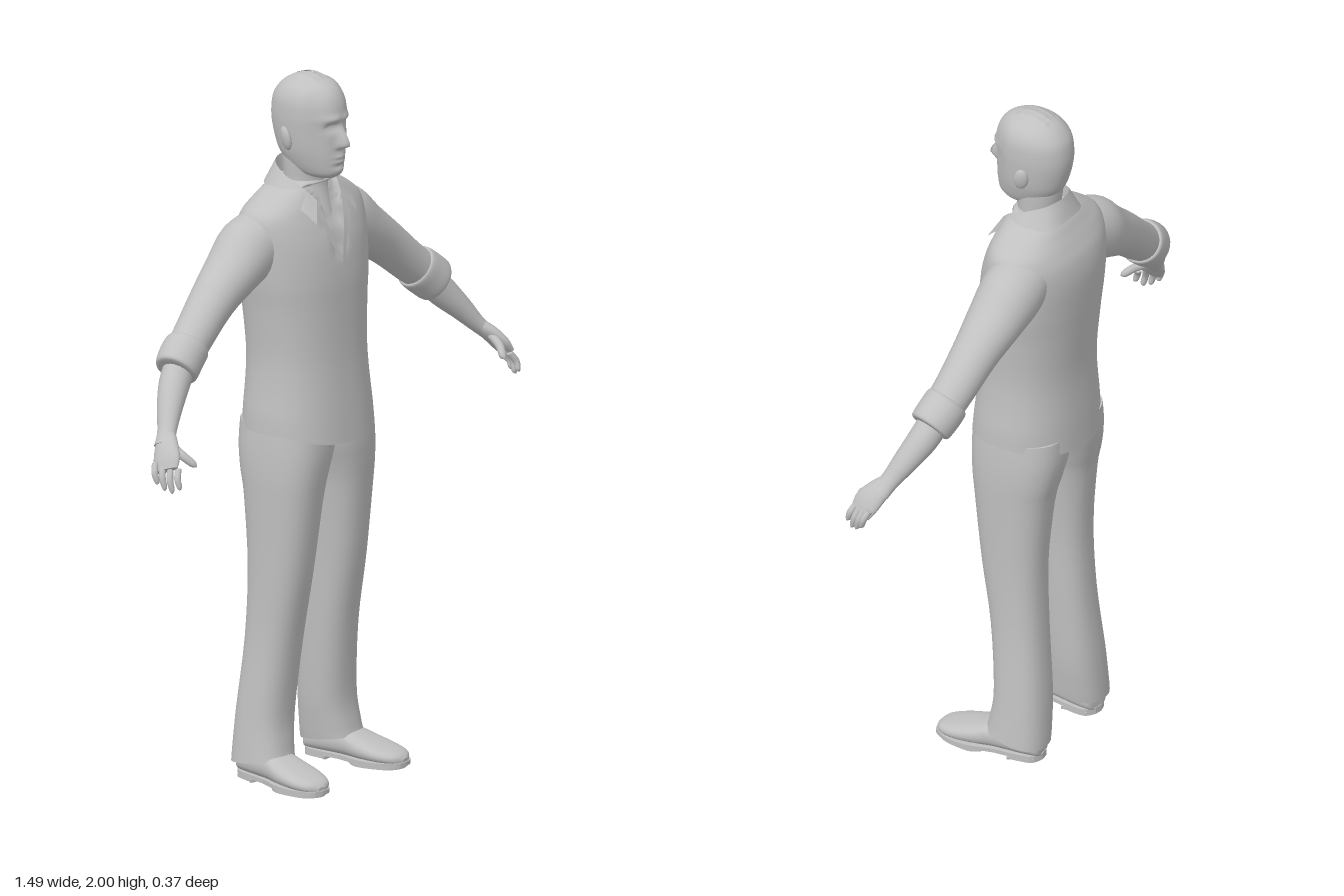
import * as THREE from 'three';

const clay = new THREE.MeshStandardMaterial({ color: 0xc0c0c0, side: THREE.DoubleSide });
clay.name = 'light grey';

const gauss = (d, s) => Math.exp(-(d * d) / (s * s));
const smooth = THREE.MathUtils.smoothstep;
const spow = (v, p) => Math.sign(v) * Math.abs(v) ** p;

// Smooth value between rows of numbers
function rowAt(rows, t) {
  const f = t * (rows.length - 1), i = Math.min(Math.floor(f), rows.length - 2), k = f - i;
  const r = n => rows[Math.max(0, Math.min(rows.length - 1, n))];
  return rows[0].map((_, c) => {
    const a = r(i - 1)[c], b = r(i)[c], d = r(i + 1)[c], e = r(i + 2)[c];
    return b + 0.5 * k * (d - a + k * (2 * a - 5 * b + 4 * d - e + k * (3 * (b - d) + e - a)));
  });
}

// Closed tube of rings with flat ends; point(row, cos, sin) places one ring vertex
function loft(rows, point, segs = 28, steps = 4) {
  const n = (rows.length - 1) * steps, pos = [], idx = [];
  const ring = s => {
    const row = rowAt(rows, s / n), pts = [];
    for (let j = 0; j < segs; j++) {
      const a = (j / segs) * Math.PI * 2;
      pts.push(point(row, Math.cos(a), Math.sin(a)));
    }
    return pts;
  };
  for (let s = 0; s <= n; s++) ring(s).forEach(p => pos.push(p.x, p.y, p.z));
  for (let s = 0; s < n; s++) for (let j = 0; j < segs; j++) {
    const a = s * segs + j, b = s * segs + (j + 1) % segs;
    idx.push(a, a + segs, b, b, a + segs, b + segs);
  }
  for (const s of [0, n]) {
    const pts = ring(s), base = pos.length / 3, c = new THREE.Vector3();
    pts.forEach(p => { pos.push(p.x, p.y, p.z); c.addScaledVector(p, 1 / segs); });
    pos.push(c.x, c.y, c.z);
    for (let j = 0; j < segs; j++) {
      const a = base + j, b = base + (j + 1) % segs;
      idx.push(...(s ? [a, base + segs, b] : [a, b, base + segs]));
    }
  }
  // Turn the faces outward
  const v = i => new THREE.Vector3().fromArray(pos, i * 3);
  let volume = 0;
  for (let i = 0; i < idx.length; i += 3) volume += v(idx[i]).dot(v(idx[i + 1]).cross(v(idx[i + 2])));
  if (volume < 0) idx.reverse();
  const g = new THREE.BufferGeometry();
  g.setAttribute('position', new THREE.Float32BufferAttribute(pos, 3));
  g.setIndex(idx);
  g.computeVertexNormals();
  return g;
}

// Upright body: rows [y, xMin, xMax, zFront, zBack], with an optional sculpting rule
function body(rows, power, sculpt = () => {}, segs, steps) {
  return loft(rows, ([y, x0, x1, zf, zb], c, s) => {
    const p = new THREE.Vector3((x0 + x1) / 2 + (x1 - x0) / 2 * spow(c, 2 / power), y,
      (zf + zb) / 2 + (zf - zb) / 2 * spow(s, 2 / power));
    sculpt(p);
    return p;
  }, segs, steps);
}

// Limb: rows [x, y, z, thickness, width], width running towards +z
function limb(rows, side, segs = 20, steps = 4) {
  const first = new THREE.Vector3(...rows[0]), t = new THREE.Vector3(...rows[rows.length - 1]).sub(first).normalize();
  const v = new THREE.Vector3(0, 0, 1).addScaledVector(t, -t.z).normalize();
  const u = new THREE.Vector3().crossVectors(v, t);
  return loft(rows, ([x, y, z, a, b], c, s) => {
    const p = new THREE.Vector3(x, y, z).addScaledVector(u, a * c).addScaledVector(v, b * s);
    p.x *= side;
    return p;
  }, segs, steps);
}

// Ruled strip between two smooth curves
function strip(a, b, n = 30, m = 4) {
  const curve = pts => new THREE.CatmullRomCurve3(pts.map(p => new THREE.Vector3(...p)));
  const ca = curve(a), cb = curve(b), g = new THREE.PlaneGeometry(1, 1, n, m), p = g.attributes.position;
  for (let i = 0; i < p.count; i++) {
    const s = (i % (n + 1)) / n, k = Math.floor(i / (n + 1)) / m;
    const q = ca.getPoint(s).lerp(cb.getPoint(s), k);
    p.setXYZ(i, q.x, q.y, q.z);
  }
  g.computeVertexNormals();
  return g;
}

const sym = rows => rows.map(([y, w, zf, zb]) => [y, -w, w, zf, zb]);
const mirrorAround = half => [...half.map(([x, y, z]) => [-x, y, z]).reverse(), ...half.slice(1)];

export function createModel() {
  const model = new THREE.Group();
  const add = (name, geometry, parent = model) => {
    const m = new THREE.Mesh(geometry, clay);
    m.name = name;
    parent.add(m);
    return m;
  };

  // Shirt with raised side hems and an open V at the neck
  add('shirt', body(sym([
    [0.97, 0.193, 0.137, -0.175], [1.05, 0.19, 0.13, -0.172], [1.2, 0.179, 0.117, -0.165],
    [1.34, 0.188, 0.112, -0.174], [1.43, 0.2, 0.109, -0.181], [1.52, 0.207, 0.098, -0.184],
    [1.58, 0.21, 0.081, -0.175], [1.62, 0.2, 0.065, -0.157], [1.65, 0.165, 0.054, -0.14],
    [1.68, 0.115, 0.042, -0.122], [1.7, 0.07, 0.03, -0.1]]), 2.3, p => {
    p.y += 0.035 * (p.x / 0.193) ** 2 * (1 - smooth(p.y, 0.97, 1.12));
    const inside = 0.36 * (p.y - 1.49) - Math.abs(p.x);
    if (p.z > 0 && p.y < 1.69) p.z -= 0.014 * smooth(inside, -0.002, 0.012);
  }, 64, 6));

  // Turned-down collar with pointed ends, and the neckline edges
  const collarTop = mirrorAround([[0, 1.748, -0.108], [0.055, 1.742, -0.09], [0.083, 1.72, -0.035], [0.072, 1.69, 0.02], [0.05, 1.655, 0.056]]);
  const collarEdge = mirrorAround([[0, 1.69, -0.13], [0.075, 1.682, -0.115], [0.112, 1.675, -0.045], [0.108, 1.645, 0.035], [0.085, 1.6, 0.085]]);
  const collarInner = mirrorAround([[0, 1.68, -0.095], [0.05, 1.675, -0.08], [0.075, 1.66, -0.035], [0.06, 1.645, 0.015], [0.035, 1.62, 0.056]]);
  add('collar', strip(collarTop, collarEdge));
  add('collarStand', strip(collarTop, collarInner));
  for (const s of [1, -1]) add('necklineEdge', strip(
    [[0.05 * s, 1.655, 0.056], [0.034 * s, 1.59, 0.08], [0, 1.488, 0.107]],
    [[0.064 * s, 1.63, 0.066], [0.047 * s, 1.575, 0.084], [0.008 * s, 1.475, 0.108]], 10, 2));

  // Neck
  add('neck', body(sym([[1.6, 0.07, 0.06, -0.09], [1.66, 0.062, 0.04, -0.088], [1.7, 0.06, 0.032, -0.088],
    [1.75, 0.062, 0.04, -0.095], [1.8, 0.062, 0.04, -0.1]]), 2));

  // Head with sculpted face
  add('head', body(sym([
    [1.712, 0.03, 0.072, -0.01], [1.722, 0.048, 0.087, -0.045], [1.74, 0.06, 0.094, -0.075], [1.77, 0.071, 0.097, -0.1],
    [1.8, 0.078, 0.098, -0.113], [1.85, 0.084, 0.099, -0.125], [1.89, 0.086, 0.101, -0.127], [1.93, 0.083, 0.094, -0.12],
    [1.96, 0.07, 0.078, -0.1], [1.98, 0.048, 0.052, -0.073], [1.99, 0.016, 0.012, -0.035]]), 2.15, p => {
    if (p.z < 0) return;
    const { x, y } = p, ax = Math.abs(x), f = smooth(p.z, 0.02, 0.07);
    const nose = 0.034 * smooth(-y, -1.88, -1.815) * smooth(y, 1.798, 1.812) * gauss(x, 0.013);
    const brow = 0.006 * gauss(y - 1.887, 0.01) * gauss(ax - 0.03, 0.03);
    const eyes = -0.014 * gauss(y - 1.864, 0.012) * gauss(ax - 0.032, 0.016);
    const lids = 0.006 * gauss(y - 1.862, 0.006) * gauss(ax - 0.032, 0.01);
    const lips = (0.009 * gauss(y - 1.77, 0.014) - 0.007 * gauss(y - 1.77, 0.004)) * gauss(x, 0.022);
    const chin = 0.006 * gauss(y - 1.735, 0.013) * gauss(x, 0.025) - 0.004 * gauss(y - 1.752, 0.006) * gauss(x, 0.02);
    p.z += f * (nose + brow + eyes + lids + lips + chin);
    p.x *= 1 - 0.1 * f;
  }, 72, 7));

  for (const s of [1, -1]) {
    const ear = add('ear', new THREE.SphereGeometry(1, 16, 12));
    ear.scale.set(0.011, 0.034, 0.021);
    ear.position.set(0.086 * s, 1.825, -0.025);
    ear.rotation.set(-0.15, 0.3 * s, -0.12 * s);
  }

  // Hair: faceted locks laid front to back over the crown, with uneven tips
  const hair = new THREE.Group();
  hair.name = 'hair';
  model.add(hair);
  for (let j = -4; j <= 4; j++) {
    const lift = 1.02 + 0.018 * ((j + 4) % 2), g = new THREE.PlaneGeometry(1, 1, 2, 9), p = g.attributes.position;
    const front = 0.98 + 0.12 * Math.sin(j * 2.7), back = -1.15 - 0.13 * Math.sin(j * 1.9 + 1);
    for (let i = 0; i < p.count; i++) {
      const k = Math.floor(i / 3) / 9, across = (i % 3) - 1, taper = k === 0 || k === 1 ? 0.35 : 1;
      const phi = j * 0.25 + across * 0.15 * taper, th = THREE.MathUtils.lerp(front, back, k);
      const r = lift - (across ? 0.012 : 0) - (taper < 1 ? 0.02 : 0);
      p.setXYZ(i, 0.089 * r * Math.sin(phi), 1.876 + 0.119 * r * Math.cos(phi) * Math.cos(th),
        -0.014 + 0.113 * r * Math.cos(phi) * Math.sin(th));
    }
    const flat = g.toNonIndexed();
    flat.computeVertexNormals();
    add('hairLock', flat, hair);
  }

  for (const s of [1, -1]) {
    const sideName = s > 0 ? 'left' : 'right';

    // Sleeve, rolled cuff and forearm
    add(sideName + 'Sleeve', limb([[0.1, 1.575, -0.065, 0.07, 0.08], [0.19, 1.53, -0.066, 0.092, 0.088], [0.27, 1.478, -0.062, 0.076, 0.08],
      [0.36, 1.417, -0.056, 0.063, 0.066], [0.45, 1.342, -0.046, 0.057, 0.058], [0.53, 1.28, -0.033, 0.054, 0.054]], s, 28));
    add(sideName + 'Cuff', limb([[0.475, 1.322, -0.044, 0.054, 0.053], [0.48, 1.318, -0.043, 0.063, 0.062], [0.51, 1.295, -0.038, 0.065, 0.063],
      [0.54, 1.27, -0.03, 0.063, 0.06], [0.545, 1.266, -0.029, 0.05, 0.05]], s, 28));
    add(sideName + 'Forearm', limb([[0.51, 1.29, -0.036, 0.044, 0.044], [0.56, 1.235, -0.02, 0.043, 0.043], [0.61, 1.18, 0.005, 0.033, 0.036],
      [0.65, 1.13, 0.03, 0.023, 0.028], [0.68, 1.1, 0.046, 0.02, 0.03]], s));

    // Hand
    const hand = new THREE.Group();
    hand.name = sideName + 'Hand';
    model.add(hand);
    add('palm', limb([[0.655, 1.125, 0.034, 0.02, 0.026], [0.68, 1.098, 0.055, 0.02, 0.036],
      [0.7, 1.07, 0.073, 0.017, 0.041], [0.715, 1.045, 0.084, 0.01, 0.036]], s), hand);
    const finger = (name, a, b, r) => add(name, limb([[...a, r, r],
      [(a[0] + b[0]) / 2 + 0.006, (a[1] + b[1]) / 2 + 0.003, (a[2] + b[2]) / 2, r, r],
      [...b.map((v, i) => v + (a[i] - v) * 0.15), r * 0.85, r * 0.85], [...b, r * 0.2, r * 0.2]], s, 10), hand);
    [1.008, 0.992, 0.986, 0.998].forEach((tip, i) =>
      finger('finger', [0.722 - 0.009 * i, 1.062 - 0.004 * i, 0.05 + 0.02 * i], [0.737 - 0.008 * i, tip, 0.07 + 0.02 * i], 0.0095));
    finger('thumb', [0.668, 1.1, 0.066], [0.647, 1.05, 0.134], 0.012);

    // Trouser leg with a sloping hem
    add(sideName + 'TrouserLeg', body([
      [0.06, 0.072, 0.218, 0.032, -0.146], [0.1, 0.066, 0.214, 0.024, -0.145], [0.2, 0.054, 0.204, 0.016, -0.139],
      [0.4, 0.044, 0.188, 0.036, -0.121], [0.6, 0.036, 0.186, 0.07, -0.115], [0.8, 0.018, 0.191, 0.095, -0.131],
      [0.88, 0.002, 0.193, 0.106, -0.148], [0.95, -0.02, 0.191, 0.113, -0.16], [1.02, -0.03, 0.185, 0.113, -0.16]]
      .map(([y, a, b, f, k]) => s > 0 ? [y, a, b, f, k] : [y, -b, -a, f, k]), 2.4,
    p => { p.y += 0.15 * (p.z + 0.05) * (1 - smooth(p.y, 0.06, 0.2)); }, 32));

    // Shoe: upper rows [z, halfWidth, top], on a sole and heel
    const shoe = new THREE.Group();
    shoe.name = sideName + 'Shoe';
    shoe.position.set(0.152 * s, 0, 0);
    shoe.rotation.y = 0.13 * s;
    model.add(shoe);
    add('upper', loft([[-0.133, 0.02, 0.045], [-0.125, 0.04, 0.07], [-0.08, 0.05, 0.085], [0, 0.054, 0.09], [0.06, 0.062, 0.072],
      [0.12, 0.06, 0.056], [0.165, 0.042, 0.044], [0.183, 0.012, 0.03]], ([z, w, h], c, t) =>
      new THREE.Vector3(w * spow(c, 0.8), 0.012 + (h - 0.012) * (0.5 + 0.5 * spow(t, 0.8)), z), 24), shoe);
    const slab = (pts, depth, y) => {
      const curve = new THREE.SplineCurve([...pts, ...pts.slice().reverse().map(([x, z]) => [-x, z])].map(q => new THREE.Vector2(...q)));
      const g = new THREE.ExtrudeGeometry(new THREE.Shape(curve.getPoints(40)), { depth, bevelEnabled: false });
      return g.rotateX(Math.PI / 2).translate(0, y + depth, 0);
    };
    add('sole', slab([[0.012, -0.135], [0.042, -0.115], [0.05, -0.06], [0.052, 0], [0.066, 0.07], [0.06, 0.13], [0.035, 0.175], [0.01, 0.186]], 0.012, 0.008), shoe);
    add('heel', slab([[0.012, -0.135], [0.042, -0.115], [0.05, -0.06], [0.048, -0.045]], 0.01, 0), shoe);
    add('tread', slab([[0.03, 0.01], [0.06, 0.05], [0.062, 0.09], [0.045, 0.15], [0.015, 0.175]], 0.01, 0), shoe);
  }
  return model;
}
